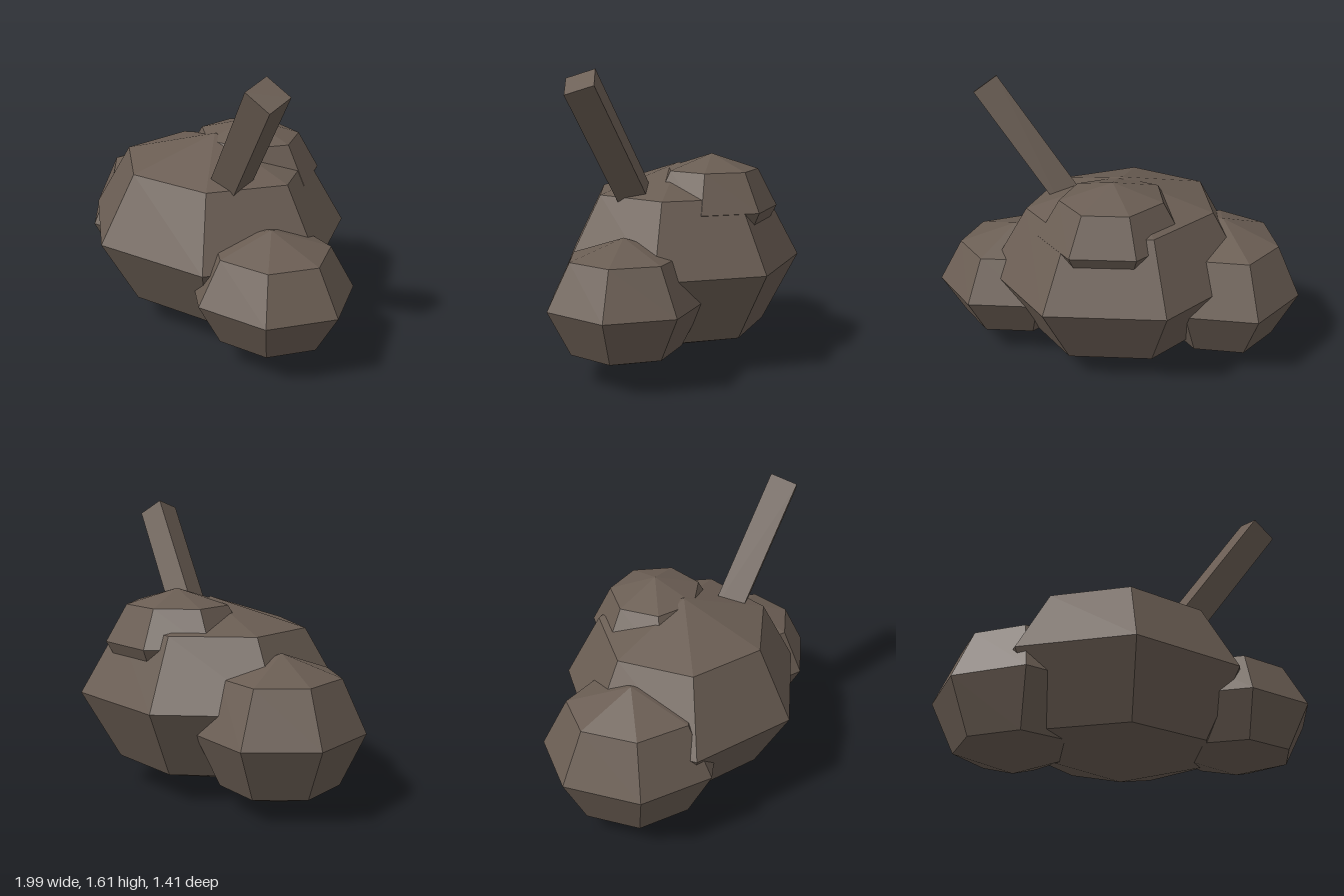
import * as THREE from 'three';

export function createModel() {
  const group = new THREE.Group();
  const stone = new THREE.MeshStandardMaterial({ color: 0x6a5d53, flatShading: true });
  stone.name = 'brown stone';

  // Seven-sided boulder with one corner pointing to the back
  const boulderGeometry = new THREE.SphereGeometry(1, 7, 4, -Math.PI / 2);

  function addBoulder(name, position, radii) {
    const mesh = new THREE.Mesh(boulderGeometry, stone);
    mesh.name = name;
    mesh.position.set(...position);
    mesh.scale.set(...radii);
    group.add(mesh);
  }

  addBoulder('mainBoulder', [-0.02, 0.54, 0.014], [0.78, 0.54, 0.694]);
  addBoulder('rightBoulder', [-0.555, 0.42, -0.207], [0.455, 0.412, 0.503]);
  addBoulder('leftBoulder', [0.54, 0.4, 0.322], [0.464, 0.34, 0.425]);
  addBoulder('topBoulder', [0.1, 0.845, -0.165], [0.42, 0.295, 0.37]);

  // Square post leaning to the left and front, sunk into the main boulder
  const length = 0.9;
  const post = new THREE.Mesh(new THREE.BoxGeometry(0.16, length, 0.16), stone);
  post.name = 'leaningPost';
  post.geometry.translate(0, -length / 2, 0);
  post.position.set(0.624, 1.54, 0.53);
  post.rotation.set(0.352, 0, -0.545, 'ZYX');
  group.add(post);

  return group;
}
